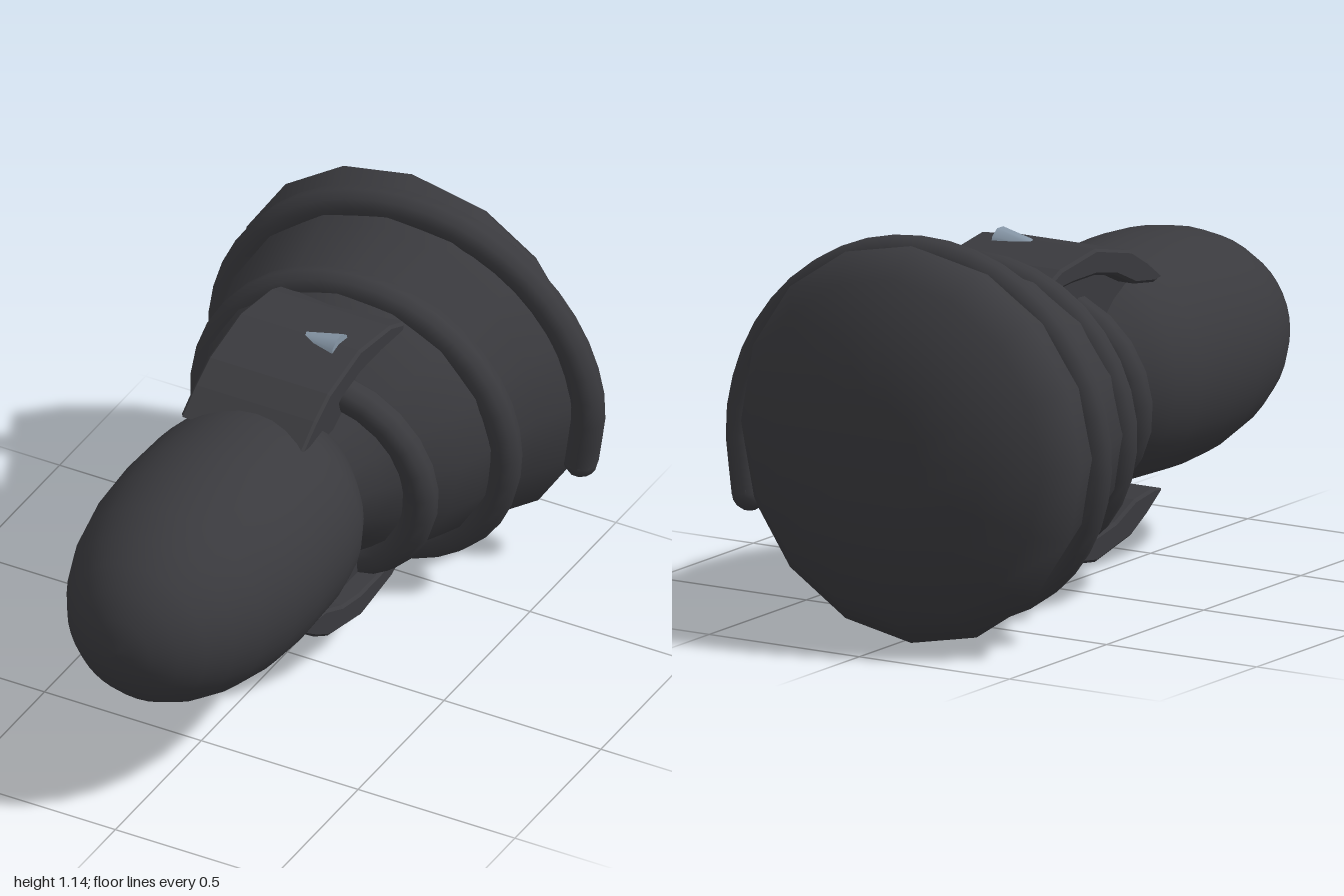
import * as THREE from 'three';

const dark = new THREE.MeshStandardMaterial({ color: 0x3a3a3e });
dark.name = 'charcoal';
const steel = new THREE.MeshStandardMaterial({ color: 0x8696a6 });
steel.name = 'steel';

const CX = -0.03, CY = 0.57; // axis of the flared end

function add(group, name, geometry, material) {
  const mesh = new THREE.Mesh(geometry, material);
  mesh.name = name;
  group.add(mesh);
  return mesh;
}

// Lathe about the z axis from [z, radius] pairs, back to front
function latheZ(profile, sides, x, y) {
  const points = profile.map(([z, r]) => new THREE.Vector2(r, z));
  return new THREE.LatheGeometry(points, sides).rotateX(Math.PI / 2).translate(x, y, 0);
}

// Extrude a [z, height] outline across x; side = 1 above the axis, -1 below
function strapShape(outline, side, x0, x1) {
  const bevel = 0.008;
  const shape = new THREE.Shape(outline.map(([z, h]) => new THREE.Vector2(-z, CY + side * h)));
  const g = new THREE.ExtrudeGeometry(shape, {
    depth: x1 - x0 - 2 * bevel, bevelEnabled: true, bevelSize: bevel,
    bevelOffset: -bevel, bevelThickness: bevel, bevelSegments: 1,
  });
  return g.rotateY(Math.PI / 2).translate(x0 + bevel, 0, 0);
}

export function createModel() {
  const model = new THREE.Group();
  model.name = 'model';

  // Rounded front bulb
  add(model, 'frontBulb', latheZ([
    [-0.12, 0], [-0.08, 0.14], [-0.03, 0.2], [0.02, 0.24], [0.08, 0.285], [0.15, 0.318],
    [0.25, 0.335], [0.43, 0.341], [0.56, 0.333], [0.7, 0.305], [0.8, 0.268], [0.88, 0.222],
    [0.94, 0.168], [0.98, 0.1], [0.995, 0.045], [1, 0],
  ], 40, 0.003, 0.595), dark);

  // Flared back body with a domed end
  add(model, 'flaredBody', latheZ([
    [-1, 0], [-1, 0.17], [-0.95, 0.35], [-0.87, 0.49], [-0.78, 0.57], [-0.6, 0.5],
    [-0.4, 0.445], [-0.3, 0.415], [-0.2, 0.345], [-0.1, 0.275], [0, 0.225], [0.05, 0.18], [0.06, 0],
  ], 16, CX, CY), dark);

  // Cord wound around the body; turn 0 is at the top, moving towards +x
  const radii = [[0.07, 0.26], [-0.05, 0.28], [-0.12, 0.285], [-0.18, 0.34], [-0.25, 0.39],
    [-0.33, 0.415], [-0.39, 0.425], [-0.47, 0.455], [-0.54, 0.5], [-0.68, 0.525], [-0.78, 0.58]];
  const radiusAt = (z) => {
    for (let i = 1; i < radii.length; i++) {
      const [z0, r0] = radii[i - 1], [z1, r1] = radii[i];
      if (z >= z1) return r0 + (r1 - r0) * (z - z0) / (z1 - z0);
    }
    return radii[radii.length - 1][1];
  };
  const path = [];
  const steps = 47, start = -0.625, end = 2.31;
  for (let i = 0; i <= steps; i++) {
    const turn = start + (end - start) * i / steps;
    const z = -0.11 - 0.285 * turn, r = radiusAt(z), a = turn * Math.PI * 2;
    path.push(new THREE.Vector3(CX + 0.012 + r * Math.sin(a), CY + r * Math.cos(a), z));
  }
  const cord = new THREE.Group();
  cord.name = 'cord';
  add(cord, 'cordCoil', new THREE.TubeGeometry(new THREE.CatmullRomCurve3(path), 94, 0.05, 10), dark);
  for (const p of [path[0], path[steps]]) {
    add(cord, 'cordEnd', new THREE.SphereGeometry(0.05, 10, 8).translate(p.x, p.y, p.z), dark);
  }
  model.add(cord);

  // Arched straps above and below, each with an inner web and a small tab
  const arch = [
    [0.24, 0.305], [0.16, 0.365], [0.08, 0.41], [-0.1, 0.45], [-0.28, 0.425], [-0.36, 0.39],
    [-0.35, 0.365], [-0.22, 0.375], [-0.1, 0.375], [0, 0.355], [0.1, 0.31], [0.2, 0.295],
  ];
  const web = [[0.16, 0.31], [0.06, 0.36], [-0.1, 0.4], [-0.3, 0.39], [-0.3, 0.2], [0.1, 0.18]];
  for (const side of [1, -1]) {
    const strap = new THREE.Group();
    strap.name = side > 0 ? 'upperStrap' : 'lowerStrap';
    add(strap, 'strapArch', strapShape(arch, side, -0.21, 0.18), dark);
    add(strap, 'strapWeb', strapShape(web, side, -0.15, 0.12), dark);
    const tab = new THREE.CylinderGeometry(0.05, 0.025, 0.11, 10).rotateZ(-Math.PI / 2);
    add(strap, 'strapTab', tab.translate(0.055, CY + side * 0.425, -0.105), steel);
    model.add(strap);
  }
  return model;
}
